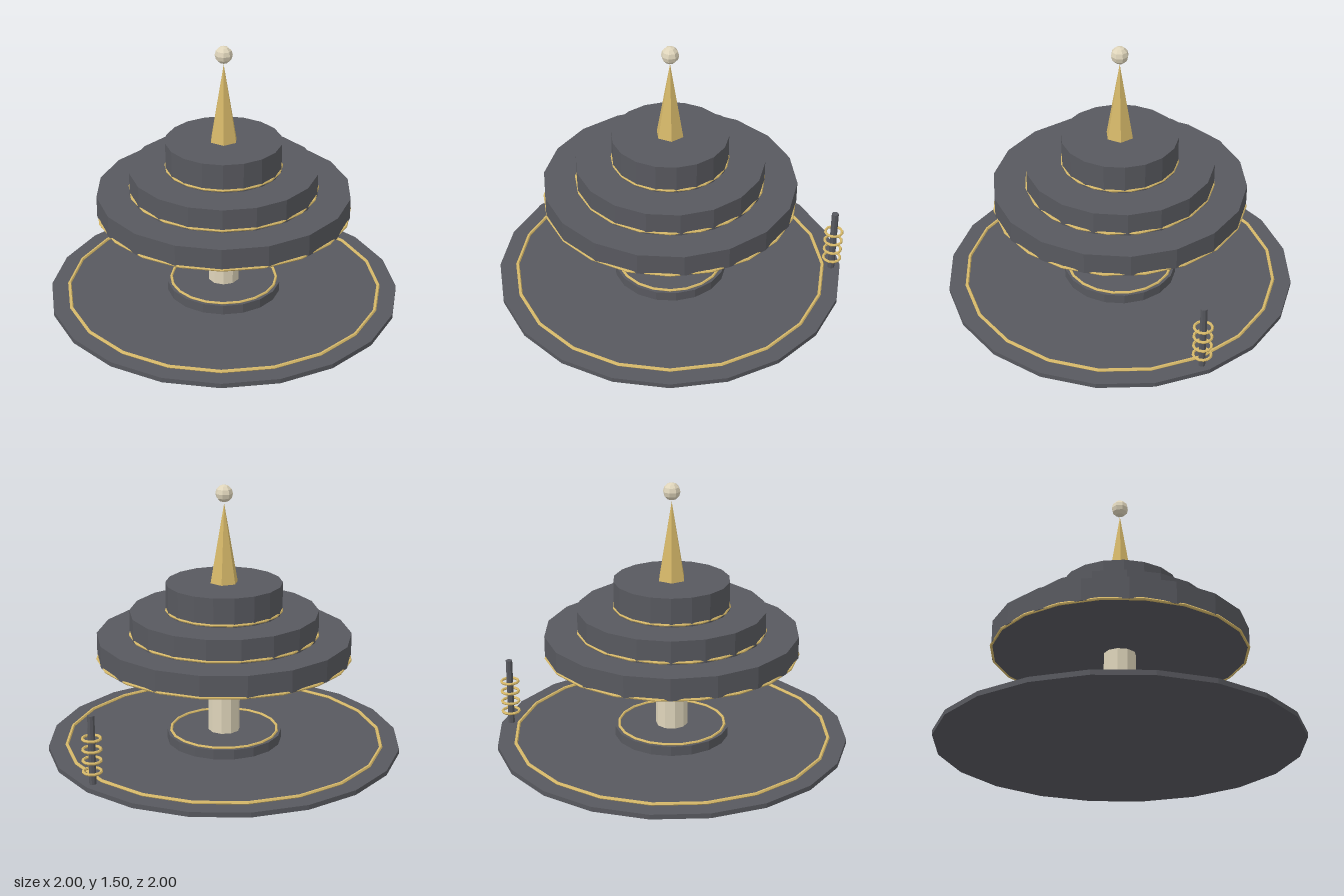
import * as THREE from 'three';

const material = (name, color) => {
  const m = new THREE.MeshStandardMaterial({ color, flatShading: true });
  m.name = name;
  return m;
};

export function createModel() {
  const slate = material('slate', 0x58595f);
  const gold = material('gold', 0xd6b869);
  const cream = material('cream', 0xdfd5bb);
  const model = new THREE.Group();
  model.name = 'tieredPavilion';

  const add = (name, geometry, mat, x, y, z, parent = model) => {
    const mesh = new THREE.Mesh(geometry, mat);
    mesh.name = name;
    mesh.position.set(x, y, z);
    parent.add(mesh);
    return mesh;
  };
  // Upright prism between two heights
  const drum = (name, radius, y0, y1, sides, mat, parent = model) =>
    add(name, new THREE.CylinderGeometry(radius, radius, y1 - y0, sides), mat, 0, (y0 + y1) / 2, 0, parent);
  // Horizontal trim ring
  const ring = (name, radius, tube, y, segments = 20, parent = model) =>
    add(name, new THREE.TorusGeometry(radius, tube, 6, segments).rotateX(Math.PI / 2), gold, 0, y, 0, parent);

  // Base disc and raised plinth
  drum('base', 1, 0, 0.027, 20, slate);
  ring('baseTrim', 0.897, 0.01, 0.032);
  drum('plinth', 0.326, 0.027, 0.082, 18, slate);
  ring('plinthTrim', 0.303, 0.008, 0.085);

  // Central column
  drum('column', 0.09, 0.08, 0.54, 10, cream);

  // Stacked roof tiers, each with a ring around its lower edge
  [[0.715, 0.533, 0.657, 0.711, 0.536],
   [0.53, 0.657, 0.79, 0.527, 0.668],
   [0.326, 0.79, 0.954, 0.323, 0.802]].forEach(([r, y0, y1, trimR, trimY], i) => {
    drum(`roofTier${i + 1}`, r, y0, y1, 18, slate);
    ring(`roofTrim${i + 1}`, trimR, 0.008, trimY);
  });

  // Spire and finial ball
  add('spire', new THREE.ConeGeometry(0.08, 0.446, 6), gold, 0, 1.177, 0);
  add('finial', new THREE.SphereGeometry(0.049, 8, 6), cream, 0, 1.455, 0);

  // Ringed post near the back edge of the base
  const post = new THREE.Group();
  post.name = 'ringedPost';
  post.position.set(0.57, 0, -0.755);
  model.add(post);
  drum('postRod', 0.02, 0.025, 0.415, 8, slate, post);
  for (let i = 0; i < 4; i++) ring(`postRing${i + 1}`, 0.049, 0.008, 0.099 + i * 0.0622, 12, post);

  return model;
}
